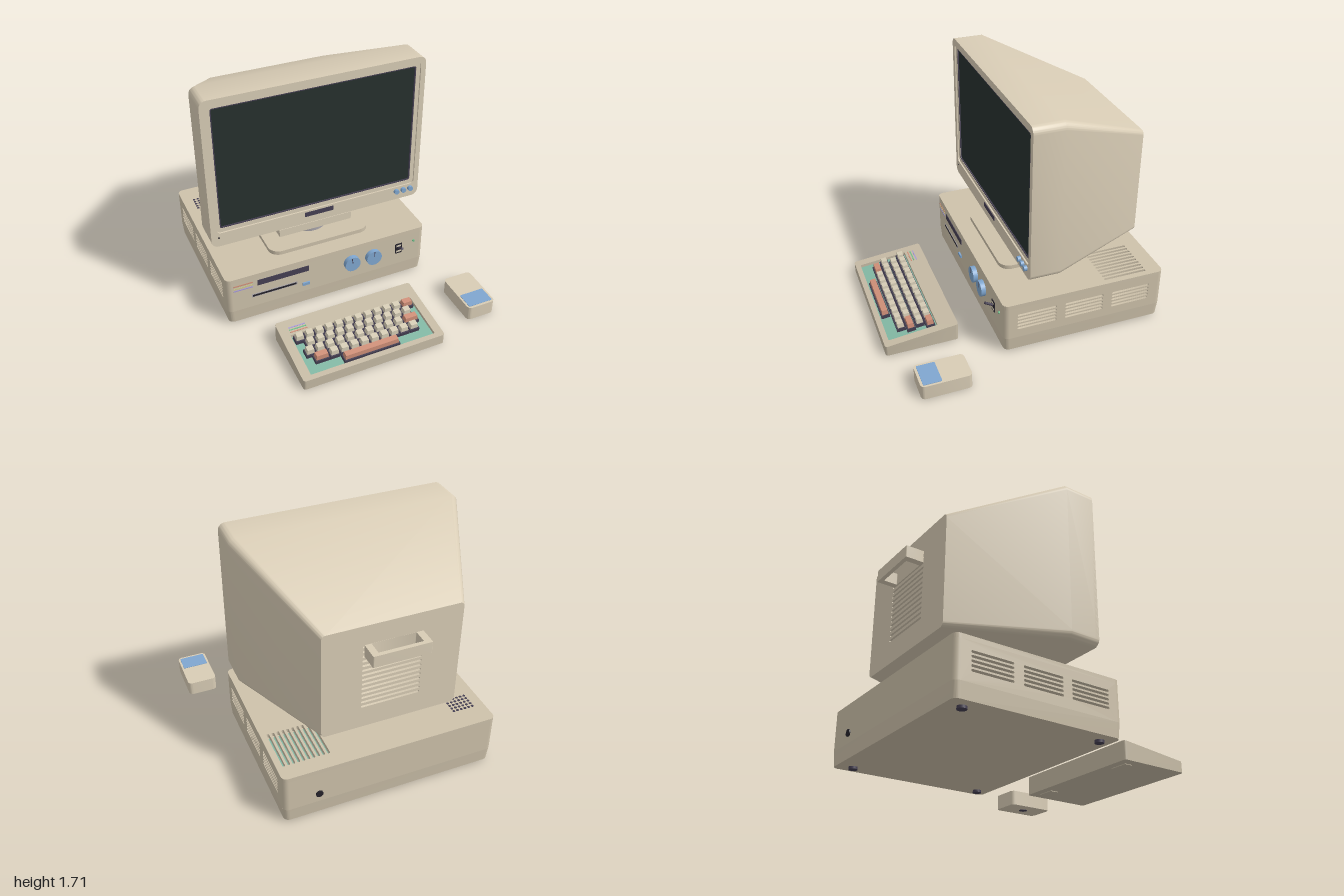
import * as THREE from 'three';
import { mergeGeometries, toCreasedNormals } from 'three/addons/utils/BufferGeometryUtils.js';

const C = { shell: 0xd8ccb5, body: 0xcdc1aa, board: 0xc6bba5, dark: 0x453f52, black: 0x24222a, glass: 0x26302e,
  blue: 0x7fa6cf, coral: 0xcf8f78, teal: 0x82b8a4, key: 0xd6cdb6, grey: 0xa9a5aa, violet: 0xa79ad8, yellow: 0xcfc98c, green: 0x6fbf8a };
const CX = -0.105; // centre line of the monitor and case

const mat = (color) => new THREE.MeshStandardMaterial({ color, roughness: 0.8 });
function add(group, name, color, geo, x = 0, y = 0, z = 0) {
  const m = new THREE.Mesh(geo, mat(color));
  m.name = name;
  m.position.set(x, y, z);
  group.add(m);
  return m;
}
// Box given by its limits
function box(group, name, color, x0, x1, y0, y1, z0, z1) {
  return add(group, name, color, new THREE.BoxGeometry(x1 - x0, y1 - y0, z1 - z0), (x0 + x1) / 2, (y0 + y1) / 2, (z0 + z1) / 2);
}
const cyl = (r, h, n = 32) => new THREE.CylinderGeometry(r, r, h, n);
const cylZ = (r, h, n = 32) => cyl(r, h, n).rotateX(Math.PI / 2);

// Counter-clockwise rounded rectangle
function rr(x0, x1, y0, y1, r, T = THREE.Shape) {
  const s = new T(), q = Math.PI / 2;
  s.moveTo(x0 + r, y0);
  s.lineTo(x1 - r, y0).absarc(x1 - r, y0 + r, r, -q, 0, false);
  s.lineTo(x1, y1 - r).absarc(x1 - r, y1 - r, r, 0, q, false);
  s.lineTo(x0 + r, y1).absarc(x0 + r, y1 - r, r, q, 2 * q, false);
  s.lineTo(x0, y0 + r).absarc(x0 + r, y0 + r, r, 2 * q, 3 * q, false);
  return s;
}
const hole = (...a) => rr(...a, THREE.Path);
const plan = (x0, x1, z0, z1, r, T) => rr(x0, x1, -z1, -z0, r, T);
function extrude(shape, depth) {
  return toCreasedNormals(new THREE.ExtrudeGeometry(shape, { depth, bevelEnabled: false, curveSegments: 6 }), 0.6);
}
// Extrude a plan outline upwards
const slab = (shape, h) => extrude(shape, h).rotateX(-Math.PI / 2);

// Skin through outlines at falling z, optionally capped
function loft(sections, caps) {
  const pos = [], idx = [];
  const rings = sections.map(([shape]) => shape.getPoints(6).slice(0, -1));
  const n = rings[0].length;
  rings.forEach((ring, k) => ring.forEach((p) => pos.push(p.x, p.y, sections[k][1])));
  for (let k = 0; k < rings.length - 1; k++) for (let i = 0; i < n; i++) {
    const a = k * n + i, b = k * n + (i + 1) % n;
    idx.push(a, a + n, b, b, a + n, b + n);
  }
  if (caps) {
    const last = (rings.length - 1) * n;
    for (let i = 1; i < n - 1; i++) idx.push(0, i, i + 1, last, last + i + 1, last + i);
  }
  const g = new THREE.BufferGeometry();
  g.setAttribute('position', new THREE.Float32BufferAttribute(pos, 3));
  g.setIndex(idx);
  return toCreasedNormals(g.toNonIndexed(), 0.6);
}

function monitor() {
  const g = new THREE.Group();
  g.name = 'monitor';
  const full = () => rr(-0.9, 0.69, 0.58, 1.705, 0.05);
  const rear = () => rr(-0.58, 0.37, 0.58, 1.37, 0.03);
  const skin = add(g, 'monitorShell', C.shell, loft([[full(), 0.055], [full(), -0.16], [rear(), -0.875]]));
  skin.material.side = THREE.DoubleSide;
  // Front frame, inner bezel and screen
  const frame = full();
  frame.holes.push(hole(-0.857, 0.653, 0.687, 1.665, 0.03));
  add(g, 'frontFrame', C.shell, extrude(frame, 0.03), 0, 0, 0.025);
  const bezel = rr(-0.857, 0.653, 0.687, 1.665, 0.03);
  bezel.holes.push(hole(-0.83, 0.623, 0.718, 1.637, 0.015));
  add(g, 'bezel', C.shell, extrude(bezel, 0.03), 0, 0, 0.014);
  const trim = rr(-0.83, 0.623, 0.718, 1.637, 0.015);
  trim.holes.push(hole(-0.822, 0.615, 0.726, 1.629, 0.01));
  add(g, 'screenTrim', C.dark, extrude(trim, 0.02), 0, 0, 0.022);
  box(g, 'screen', C.glass, -0.83, 0.623, 0.718, 1.637, 0.01, 0.034);
  // Front controls
  box(g, 'namePlate', C.dark, -0.215, 0.003, 0.637, 0.672, 0.05, 0.059);
  for (const x of [0.51, 0.566, 0.622]) add(g, 'monitorButton', C.blue, cylZ(0.019, 0.03), x, 0.653, 0.062);
  add(g, 'pinHole', C.black, cylZ(0.006, 0.006, 12), -0.847, 0.652, 0.054);
  // Vented rear panel with a board behind it
  const back = rear();
  for (let i = 0; i < 14; i++) back.holes.push(hole(-0.31, 0.1, 0.74 + i * 0.036, 0.756 + i * 0.036, 0.007));
  add(g, 'rearPanel', C.shell, extrude(back, 0.02), 0, 0, -0.875);
  box(g, 'innerBoard', C.teal, -0.35, 0, 0.75, 1.05, -0.74, -0.72);
  // Carry handle
  const grip = plan(-0.305, 0.09, -1, -0.87, 0.006);
  grip.holes.push(plan(-0.257, 0.045, -0.972, -0.876, 0.004, THREE.Path));
  add(g, 'handle', C.shell, slab(grip, 0.083), 0, 1.147, 0);
  return g;
}

function stand() {
  const g = new THREE.Group();
  g.name = 'stand';
  add(g, 'tiltBarrel', C.shell, cyl(0.128, 0.42, 40).rotateZ(Math.PI / 2), CX, 0.632, -0.155);
  box(g, 'cradle', C.shell, -0.388, 0.172, 0.473, 0.532, -0.31, 0);
  add(g, 'swivelNeck', C.shell, cyl(0.11, 0.02), CX, 0.468, -0.155);
  add(g, 'swivelRing', C.grey, cyl(0.13, 0.034), CX, 0.445, -0.155);
  add(g, 'standBase', C.body, slab(plan(-0.49, 0.28, -0.42, 0.102, 0.08), 0.03), 0, 0.4, 0);
  return g;
}

function computerCase() {
  const g = new THREE.Group();
  g.name = 'computerCase';
  const [x0, x1, z0, z1, r] = [-0.875, 0.667, -0.965, 0.228, 0.04];
  const band = loft([[plan(x0, x1, z0, z1, r), 0.12], [plan(x0 + 0.008, x1 - 0.008, z0 + 0.008, z1 - 0.008, r), 0.018]], true);
  add(g, 'lowerTray', C.body, band.rotateX(-Math.PI / 2));
  // Lid with long slots
  const lid = plan(x0, x1, z0, z1, r);
  for (let i = 0; i < 10; i++) {
    const x = 0.615 - i * 0.0345;
    lid.holes.push(plan(x - 0.009, x + 0.009, -0.85, -0.53, 0.008, THREE.Path));
  }
  add(g, 'lid', C.body, slab(lid, 0.03), 0, 0.37, 0);
  // Walls, with three banks of slots through each side
  box(g, 'frontWall', C.body, x0 + r, x1 - r, 0.12, 0.37, z1 - 0.03, z1);
  box(g, 'backWall', C.body, x0 + r, x1 - r, 0.12, 0.37, z0, z0 + 0.03);
  const side = new THREE.Shape([[-z1 + r, 0.12], [-z0 - r, 0.12], [-z0 - r, 0.37], [-z1 + r, 0.37]].map((p) => new THREE.Vector2(...p)));
  for (const u of [-0.13, 0.22, 0.573]) for (let i = 0; i < 5; i++) {
    const y = 0.195 + i * 0.0278;
    side.holes.push(hole(u, u + 0.285, y - 0.008, y + 0.008, 0.007));
  }
  for (const x of [x0, x1 - 0.03]) add(g, 'ventedSide', C.body, extrude(side, 0.03).rotateY(Math.PI / 2), x, 0, 0);
  for (const x of [x0 + r, x1 - r]) for (const z of [z0 + r, z1 - r]) add(g, 'corner', C.body, cyl(r, 0.25, 24), x, 0.245, z);
  box(g, 'mainBoard', C.teal, -0.5, 0.575, 0.12, 0.13, -0.9, -0.3);
  // Speaker dots, power socket and feet
  const dots = [];
  for (let i = 0; i < 6; i++) for (let j = 0; j < 5; j++) dots.push(cyl(0.01, 0.004, 12).translate(-0.79 + i * 0.029, 0.4, -0.8 + j * 0.029));
  add(g, 'speakerDots', C.dark, mergeGeometries(dots));
  add(g, 'powerSocket', C.black, cylZ(0.025, 0.02, 20), 0.42, 0.19, z0);
  for (const x of [-0.775, 0.565]) for (const z of [-0.85, 0.125]) add(g, 'foot', C.dark, cyl(0.03, 0.022, 24), x, 0.011, z);
  // Front panel
  [C.coral, C.yellow, C.violet].forEach((c, i) => box(g, 'stripe', c, -0.825, -0.685, 0.334 - i * 0.02, 0.343 - i * 0.02, z1 - 0.01, z1 + 0.003));
  box(g, 'driveBay', C.dark, -0.65, -0.263, 0.298, 0.343, z1 - 0.01, z1 + 0.004);
  box(g, 'diskSlotFrame', C.grey, -0.697, -0.355, 0.203, 0.229, z1 - 0.01, z1 + 0.003);
  box(g, 'diskSlot', C.black, -0.69, -0.362, 0.209, 0.223, z1 - 0.01, z1 + 0.005);
  box(g, 'ejectButton', C.blue, -0.315, -0.26, 0.178, 0.2, z1 - 0.01, z1 + 0.012);
  for (const [x, a] of [[0.07, 0.15], [0.243, 0]]) {
    add(g, 'knob', C.blue, cylZ(0.06, 0.034, 40), x, 0.262, z1 + 0.017);
    add(g, 'knobMark', C.dark, new THREE.BoxGeometry(0.006, 0.045, 0.004).translate(0, 0.034, 0), x, 0.262, z1 + 0.034).rotation.z = a;
  }
  box(g, 'switchPlate', C.black, 0.43, 0.485, 0.22, 0.305, z1 - 0.01, z1 + 0.005);
  for (const y of [0.232, 0.28]) box(g, 'switchLabel', C.key, 0.438, 0.477, y, y + 0.014, z1, z1 + 0.007);
  add(g, 'switchLever', C.dark, cyl(0.009, 0.075, 12), 0.457, 0.283, z1 + 0.03).rotation.x = 1.05;
  add(g, 'powerLamp', C.green, cylZ(0.009, 0.012, 16), 0.58, 0.297, z1 + 0.003);
  return g;
}

// Raise everything towards the back of the keyboard
const rise = (z) => (0.99 - z) * 0.105;
function lean(geo, from = -1) {
  const p = geo.attributes.position;
  for (let i = 0; i < p.count; i++) if (p.getY(i) > from) p.setY(i, p.getY(i) + rise(p.getZ(i)));
  geo.computeVertexNormals();
  return toCreasedNormals(geo, 0.6);
}
// Key cap with a narrower top
function keyCap(x, z, w) {
  const g = new THREE.BoxGeometry(w - 0.013, 0.06, 0.052), p = g.attributes.position;
  for (let i = 0; i < p.count; i++) if (p.getY(i) > 0) {
    p.setX(i, p.getX(i) - Math.sign(p.getX(i)) * 0.007);
    p.setZ(i, p.getZ(i) * 0.78);
  }
  g.computeVertexNormals();
  return g.rotateX(0.105).translate(x, 0.088 + rise(z), z);
}

function keyboard() {
  const g = new THREE.Group();
  g.name = 'keyboard';
  const outline = () => plan(-0.627, 0.417, 0.472, 0.992, 0.02);
  add(g, 'keyboardBase', C.board, lean(loft([[outline(), 0.05], [outline(), 0.004]], true).rotateX(-Math.PI / 2), 0.03));
  const deck = outline();
  deck.holes.push(plan(-0.563, 0.357, 0.605, 0.955, 0.005, THREE.Path));
  add(g, 'keyboardDeck', C.board, lean(slab(deck, 0.03).translate(0, 0.05, 0)));
  add(g, 'keyWell', C.teal, lean(new THREE.BoxGeometry(0.92, 0.01, 0.35).translate(-0.103, 0.052, 0.78).toNonIndexed()));
  // Rows as [z, start x, runs of [count, width, accent]]
  const rows = [
    [0.648, -0.553, [[11, 0.0735, 0], [1, 0.09, 1]]],
    [0.713, -0.5, [[11, 0.0727, 0]]],
    [0.78, -0.533, [[10, 0.0735, 0], [1, 0.115, 1]]],
    [0.845, -0.495, [[1, 0.108, 1], [9, 0.0745, 0]]],
    [0.913, -0.315, [[1, 0.415, 1]]],
  ];
  const caps = [[], []], skirts = [];
  for (const [z, start, runs] of rows) {
    let x = start;
    for (const [count, w, accent] of runs) for (let i = 0; i < count; i++, x += w) {
      caps[accent].push(keyCap(x + w / 2, z, w));
      skirts.push(new THREE.BoxGeometry(w - 0.004, 0.03, 0.062).rotateX(0.105).translate(x + w / 2, 0.068 + rise(z), z));
    }
  }
  add(g, 'keys', C.key, mergeGeometries(caps[0]));
  add(g, 'accentKeys', C.coral, mergeGeometries(caps[1]));
  add(g, 'keySkirts', C.dark, mergeGeometries(skirts));
  [C.violet, C.green, C.coral].forEach((c, i) => {
    const z = 0.543 + i * 0.02;
    add(g, 'keyboardStripe', c, new THREE.BoxGeometry(0.125, 0.005, 0.008).rotateX(0.105), -0.492, 0.08 + rise(z), z);
  });
  for (const x of [-0.495, 0.285]) box(g, 'keyboardFoot', C.board, x - 0.065, x + 0.065, 0, 0.006, 0.53, 0.59);
  return g;
}

function mouse() {
  const g = new THREE.Group();
  g.name = 'mouse';
  add(g, 'mouseBody', C.shell, slab(plan(0.682, 0.898, 0.525, 0.872, 0.03), 0.106), 0, 0.004, 0);
  add(g, 'mouseButton', C.blue, slab(plan(0.697, 0.883, 0.727, 0.855, 0.008), 0.01), 0, 0.103, 0);
  add(g, 'mouseBall', C.dark, cyl(0.03, 0.008, 20), 0.79, 0.004, 0.7);
  return g;
}

export function createModel() {
  const model = new THREE.Group();
  model.name = 'desktopComputer';
  model.add(monitor(), stand(), computerCase(), keyboard(), mouse());
  return model;
}
